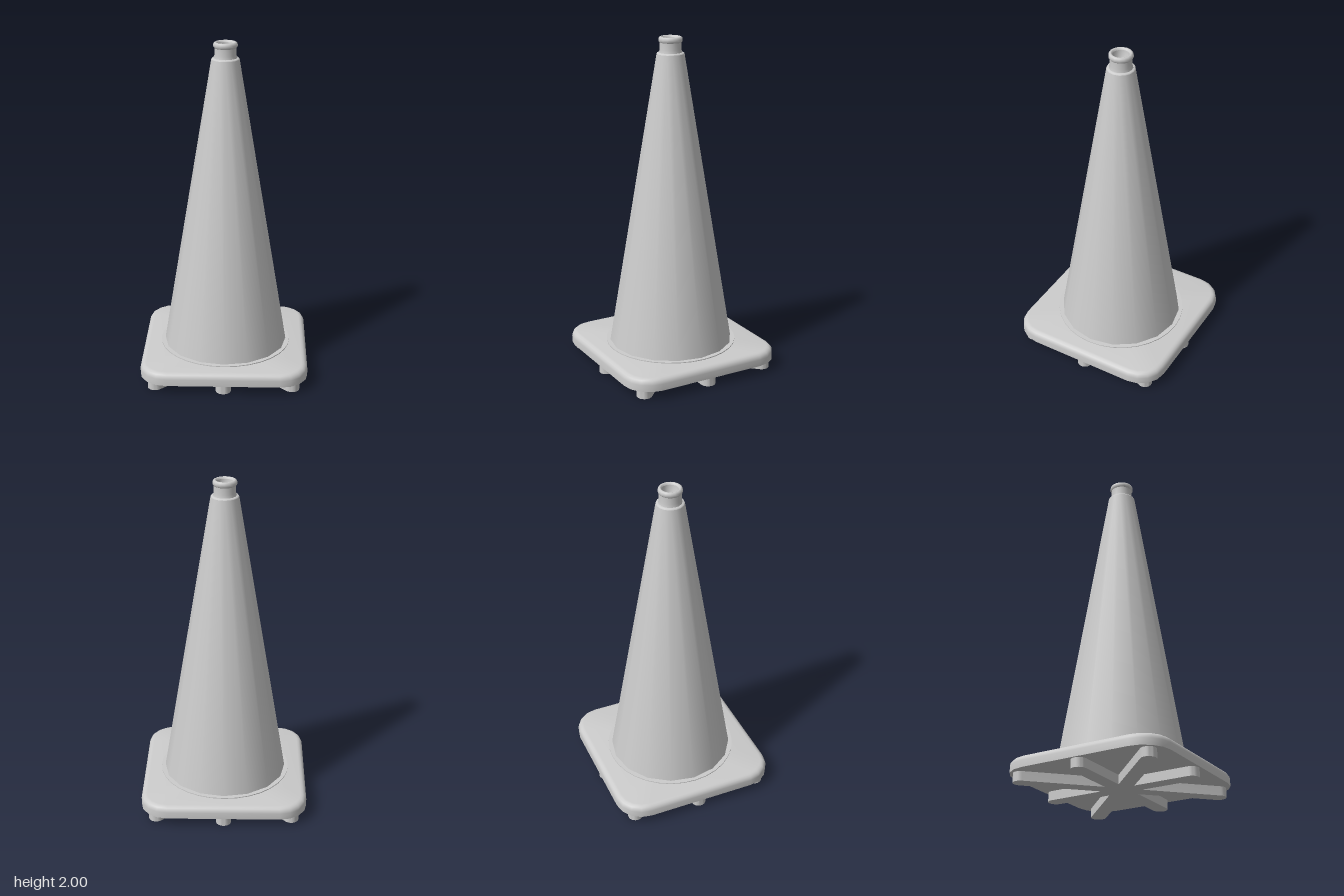
import * as THREE from 'three';
import { toCreasedNormals } from 'three/addons/utils/BufferGeometryUtils.js';

const grey = new THREE.MeshStandardMaterial({ color: 0xcccccc });

function add(parent, name, geometry) {
  const mesh = new THREE.Mesh(geometry, grey);
  mesh.name = name;
  parent.add(mesh);
  return mesh;
}

// Revolved surface from [radius, height] pairs, listed so the solid lies to the left
function lathe(points, segments = 16) {
  return new THREE.LatheGeometry(points.map(([r, y]) => new THREE.Vector2(r, y)), segments);
}

// Square outline with rounded corners, four facets per corner
function roundedSquare(half, radius) {
  const points = [];
  for (let corner = 0; corner < 4; corner++) {
    const mid = Math.PI / 4 + corner * Math.PI / 2;
    const cx = Math.sign(Math.cos(mid)) * (half - radius);
    const cz = Math.sign(Math.sin(mid)) * (half - radius);
    for (let i = 0; i <= 4; i++) {
      const a = corner * Math.PI / 2 + i * Math.PI / 8;
      points.push([cx + radius * Math.cos(a), cz + radius * Math.sin(a)]);
    }
  }
  return points;
}

// Slab with a flat underside and a rounded upper rim, lofted from outlines
function baseGeometry() {
  const bevel = 0.035, top = 0.13, bottom = 0.055;
  const layers = [[0, bottom]];
  for (let i = 0; i <= 4; i++) {
    const a = i * Math.PI / 8;
    layers.push([bevel * (1 - Math.cos(a)), top - bevel + bevel * Math.sin(a)]);
  }
  const positions = [], index = [], n = 20;
  for (const [inset, y] of layers) {
    for (const [x, z] of roundedSquare(0.5 - inset, 0.165 - inset)) positions.push(x, y, z);
  }
  const low = layers.length * n, high = low + 1, last = (layers.length - 1) * n;
  positions.push(0, bottom, 0, 0, top, 0);
  for (let i = 0; i < n; i++) {
    const j = (i + 1) % n;
    for (let k = 0; k < last; k += n) {
      index.push(k + i, k + n + i, k + j, k + j, k + n + i, k + n + j);
    }
    index.push(low, i, j, high, last + j, last + i);
  }
  const geometry = new THREE.BufferGeometry();
  geometry.setAttribute('position', new THREE.Float32BufferAttribute(positions, 3));
  geometry.setIndex(index);
  return toCreasedNormals(geometry, 0.6);
}

// Round-ended bar through the centre, lying on the ground
function ribGeometry(reach) {
  const r = 0.045, c = reach - r;
  const shape = new THREE.Shape();
  shape.absarc(c, 0, r, -Math.PI / 2, Math.PI / 2, false);
  shape.absarc(-c, 0, r, Math.PI / 2, Math.PI * 1.5, false);
  const geometry = new THREE.ExtrudeGeometry(shape, { depth: 0.057, bevelEnabled: false, curveSegments: 8 });
  geometry.rotateX(-Math.PI / 2);
  return toCreasedNormals(geometry, 0.6);
}

export function createModel() {
  const model = new THREE.Group();
  model.name = 'trafficCone';

  add(model, 'base', baseGeometry());

  // Eight-armed star of ribs under the base
  const ribs = new THREE.Group();
  ribs.name = 'undersideRibs';
  model.add(ribs);
  for (let i = 0; i < 4; i++) {
    add(ribs, 'rib', ribGeometry(i % 2 ? 0.62 : 0.49)).rotation.y = i * Math.PI / 4;
  }

  // Thin collar around the foot of the cone
  const collar = add(model, 'collar', new THREE.CylinderGeometry(0.397, 0.397, 0.01, 32));
  collar.position.y = 0.13;

  // Body and the small shoulder at its top
  add(model, 'coneBody', lathe([[0.375, 0.13], [0.082, 1.9]]));
  add(model, 'shoulder', lathe([[0.082, 1.9], [0.079, 1.906], [0.068, 1.908]]));

  // Neck, rolled lip and the hollow in the top
  const neck = new THREE.Group();
  neck.name = 'neck';
  model.add(neck);
  add(neck, 'neckWall', lathe([[0.068, 1.906], [0.064, 1.925], [0.064, 1.966]]));
  add(neck, 'lip', lathe([
    [0.064, 1.966], [0.07, 1.973], [0.071, 1.985], [0.067, 1.996], [0.059, 2], [0.052, 1.997], [0.048, 1.988],
  ]));
  add(neck, 'hollow', lathe([[0.048, 1.988], [0.044, 1.95], [0.03, 1.92], [0, 1.905]]));

  return model;
}
